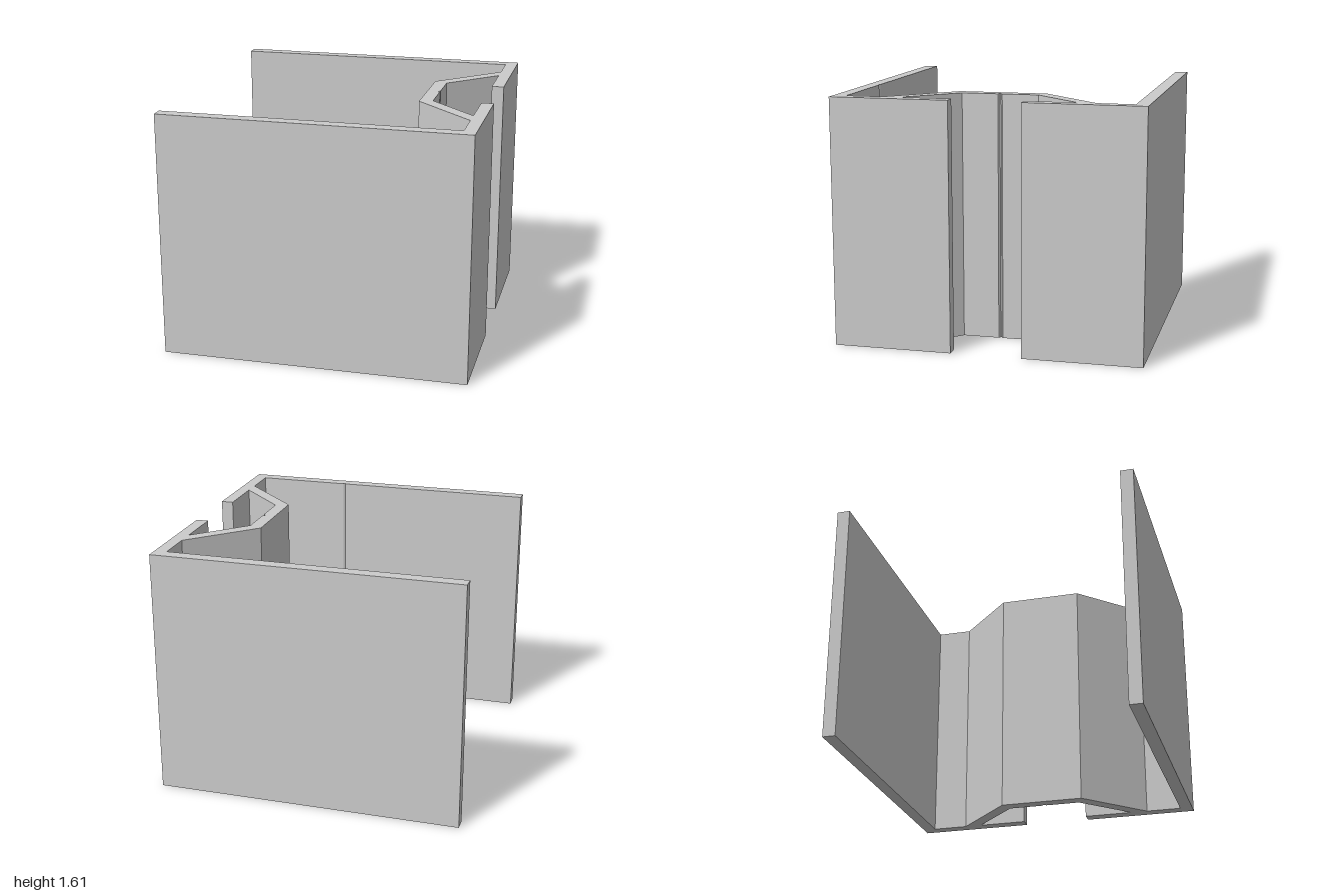
import * as THREE from 'three';

const HEIGHT = 1.61;

export function createModel() {
  const group = new THREE.Group();
  group.name = 'channelProfile';

  // Half of the slotted side (x, z), from the rear outer corner to the web groove
  const slotSide = [
    [-1, -1], [1, -1], [1, -0.23], [0.92, -0.23], [0.92, -0.56],
    [0.61, -0.25], [0.61, -0.014], [0.597, -0.004],
  ];
  // Half of the inside face, from the folded web to the rear flange tip
  const innerSide = [[0.525, -0.285], [0.92, -0.677], [0.92, -0.915], [-1, -0.915]];
  // Marking groove on the inside of the front flange only
  const groove = [[0.288, 0.915], [0.3, 0.923], [0.312, 0.915]];

  const mirrored = (points) => points.map(([x, z]) => [x, -z]).reverse();
  const outline = [...slotSide, ...mirrored(slotSide)];
  const [tip, ...rest] = mirrored(innerSide);
  outline.push(tip, ...groove, ...rest, ...innerSide);

  // Extrude the section, then stand it upright with shape y becoming z
  const shape = new THREE.Shape(outline.map(([x, z]) => new THREE.Vector2(x, z)));
  const geometry = new THREE.ExtrudeGeometry(shape, { depth: HEIGHT, bevelEnabled: false });
  geometry.rotateX(Math.PI / 2).translate(0, HEIGHT, 0);

  const material = new THREE.MeshStandardMaterial({ color: 0xcccccc, flatShading: true });
  const profile = new THREE.Mesh(geometry, material);
  profile.name = 'extrudedProfile';
  group.add(profile);
  return group;
}
